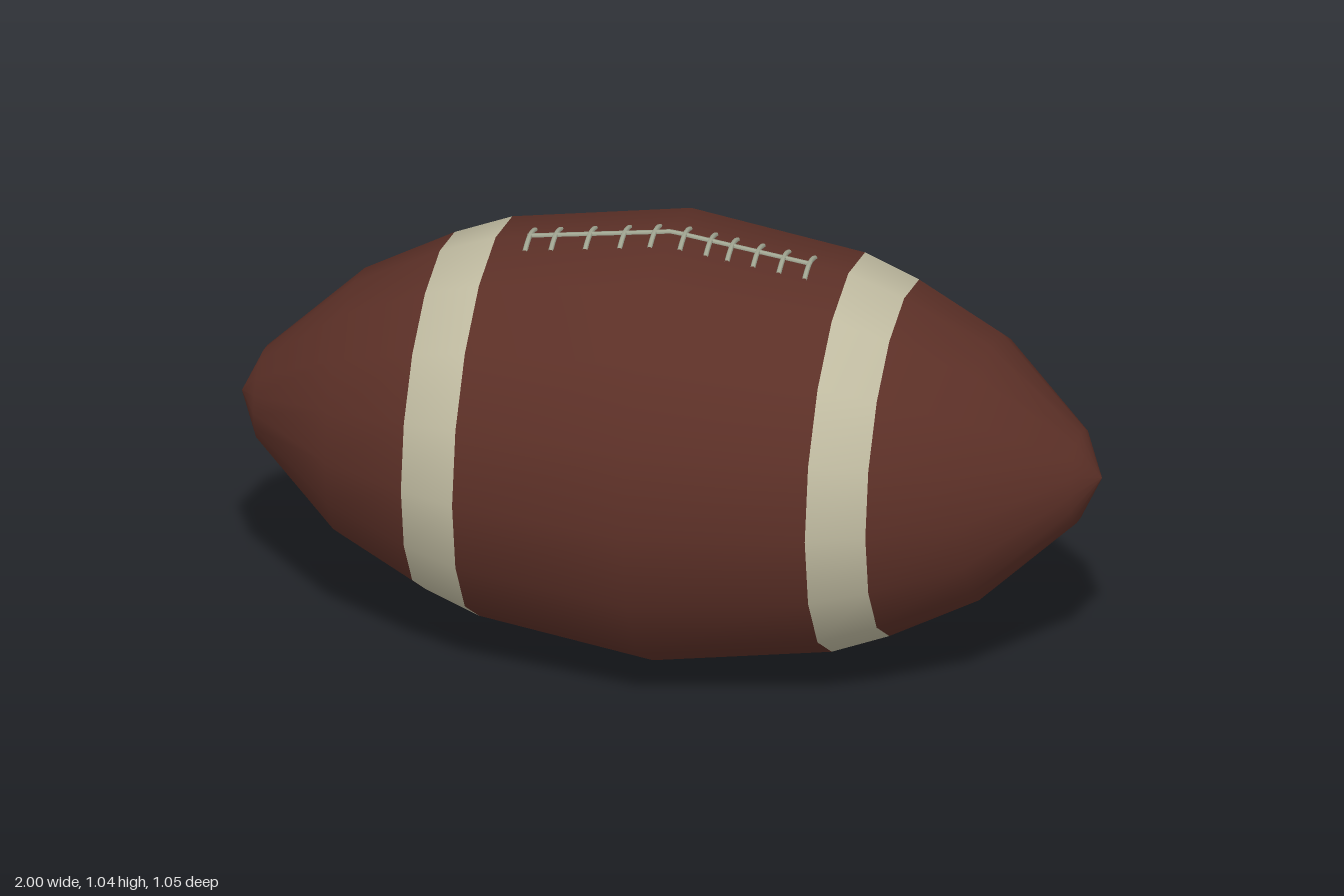
import * as THREE from 'three';

const CENTER_Y = 0.518;
// Half profile: [distance along the axis, radius]
const HALF = [[0, 0.525], [0.41, 0.457], [0.54, 0.408], [0.74, 0.306], [0.95, 0.108], [1, 0]];
const PROFILE = [...HALF.slice(1).reverse().map(([x, r]) => [-x, r]), ...HALF];
const SIDES = 16;

const leather = new THREE.MeshStandardMaterial({ color: 0x5c3027 });
const paint = new THREE.MeshStandardMaterial({ color: 0xbfbaa0 });
const cord = new THREE.MeshStandardMaterial({ color: 0xa3a894 });

// Full hull, lying along x, slightly flattened at its widest ring
function hullGeometry() {
  const points = PROFILE.map(([x, r]) => new THREE.Vector2(r, x));
  const geometry = new THREE.LatheGeometry(points, SIDES).rotateZ(-Math.PI / 2);
  const p = geometry.attributes.position;
  for (let i = 0; i < p.count; i++) {
    if (Math.abs(p.getX(i)) < 0.01) p.setY(i, p.getY(i) * 0.983);
  }
  return geometry;
}

// Keep only the chosen bands of the hull, so normals stay smooth between parts
function bands(hull, keep) {
  const geometry = hull.clone();
  const p = hull.attributes.position;
  const index = [];
  for (let i = 0; i < hull.index.count; i += 3) {
    const tri = [0, 1, 2].map((k) => hull.index.getX(i + k));
    const xs = tri.map((v) => p.getX(v));
    if (keep((Math.min(...xs) + Math.max(...xs)) / 2)) index.push(...tri);
  }
  geometry.setIndex(index);
  return geometry;
}

// Height of the ridge along the top of the ball
const ridge = (x) => 0.516 - (0.059 * Math.abs(x)) / 0.41;

function cordMesh(name, points, radius, segments) {
  const curve = new THREE.CatmullRomCurve3(points.map((q) => new THREE.Vector3(...q)));
  const mesh = new THREE.Mesh(new THREE.TubeGeometry(curve, segments, radius, 6), cord);
  mesh.name = name;
  return mesh;
}

export function createModel() {
  const ball = new THREE.Group();
  ball.name = 'football';
  ball.position.y = CENTER_Y;

  // Leather panels and the two painted rings
  const hull = hullGeometry();
  const parts = [
    ['leftTip', (x) => x > 0.54, leather],
    ['leftStripe', (x) => x > 0.41 && x < 0.54, paint],
    ['middle', (x) => Math.abs(x) < 0.41, leather],
    ['rightStripe', (x) => x < -0.41 && x > -0.54, paint],
    ['rightTip', (x) => x < -0.54, leather],
  ];
  for (const [name, keep, material] of parts) {
    const mesh = new THREE.Mesh(bands(hull, keep), material);
    mesh.name = name;
    ball.add(mesh);
  }

  // Lacing: one long cord on the ridge and short cross stitches over it
  const laces = new THREE.Group();
  laces.name = 'laces';
  const run = [-0.335, -0.17, -0.03, 0, 0.03, 0.17, 0.325].map((x) => [x, ridge(x) + 0.001, 0]);
  laces.add(cordMesh('laceSeam', run, 0.006, 24));
  for (const x of [-0.33, -0.27, -0.19, -0.11, -0.04, 0.03, 0.09, 0.14, 0.2, 0.26, 0.32]) {
    const y = ridge(x);
    const stitch = [[x, y - 0.012, 0.056], [x, y - 0.002, 0.03], [x, y + 0.003, 0],
      [x, y - 0.002, -0.03], [x, y - 0.012, -0.056]];
    laces.add(cordMesh('laceStitch', stitch, 0.006, 10));
  }
  ball.add(laces);

  const model = new THREE.Group();
  model.name = 'model';
  model.add(ball);
  return model;
}
